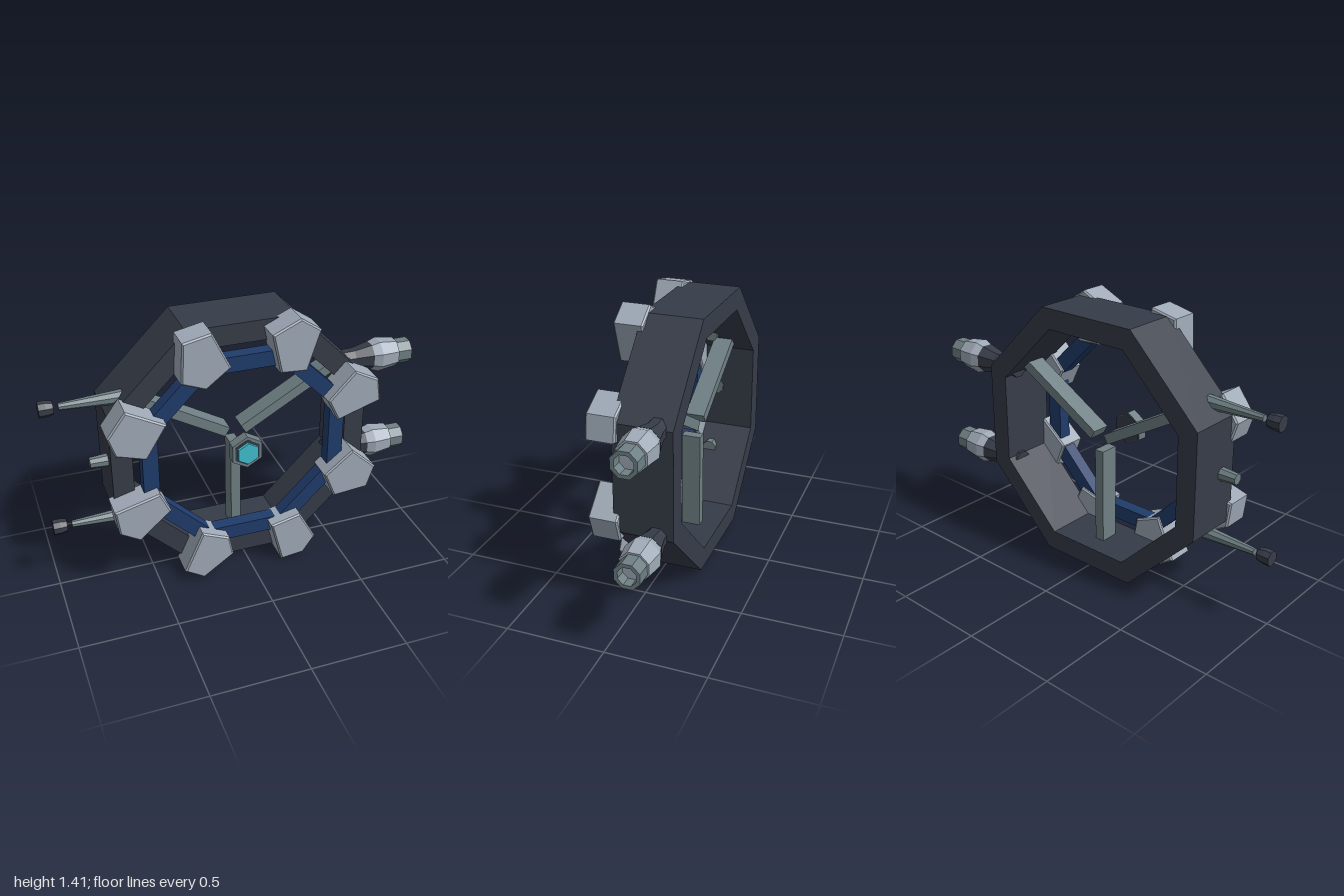
import * as THREE from 'three';

const mat = (name, color) => {
  const m = new THREE.MeshStandardMaterial({ color });
  m.name = name;
  return m;
};

const CX = -0.02, CY = 0.72; // ring centre
const RAD = Math.PI / 180;

export function createModel() {
  const model = new THREE.Group();
  model.name = 'ringStation';

  const hull = mat('dark hull', 0x363c48);
  const pale = mat('pale grey', 0xa0abb8);
  const steel = mat('steel grey', 0x6f8085);
  const blue = mat('navy blue', 0x203c6c);
  const cyan = mat('cyan light', 0x40c0d0);

  const add = (name, geometry, material, x = 0, y = 0, z = 0, parent = model) => {
    const mesh = new THREE.Mesh(geometry, material);
    mesh.name = name;
    mesh.position.set(x, y, z);
    parent.add(mesh);
    return mesh;
  };

  // Faceted normals
  const faceted = (geometry) => {
    const g = geometry.index ? geometry.toNonIndexed() : geometry;
    g.computeVertexNormals();
    return g;
  };

  // Octagon path from its apothem
  const octagon = (path, apothem) => {
    const r = apothem / Math.cos(Math.PI / 8);
    const pts = [];
    for (let i = 0; i < 8; i++) {
      const a = (22.5 + 45 * i) * RAD;
      pts.push(new THREE.Vector2(r * Math.cos(a), r * Math.sin(a)));
    }
    return path.setFromPoints(pts);
  };
  const octRing = (outer, inner, depth) => {
    const shape = octagon(new THREE.Shape(), outer);
    shape.holes.push(octagon(new THREE.Path(), inner));
    return new THREE.ExtrudeGeometry(shape, { depth, bevelEnabled: false });
  };

  // Eight-sided turned part along x, from [x, radius] pairs in rising x
  const turned = (profile) => {
    const pts = profile.map(([x, r]) => new THREE.Vector2(r, x));
    return faceted(new THREE.LatheGeometry(pts, 8, Math.PI / 8)).rotateZ(-Math.PI / 2);
  };

  // Main ring and inner rail
  add('mainRing', octRing(0.675, 0.568, 0.3), hull, CX, CY, -0.21);
  add('innerRail', octRing(0.533, 0.452, 0.07), blue, CX, CY, 0.076);

  // Irregular five-sided blocks on the ring corners: corner angles in degrees
  const blockCorners = [
    [93, 33, -17, -127, -180],
    [147, 82, 30, -66, -122],
    [132, 72, -20, -85, -138],
    [111, 12, -75, -140, -184],
    [160, 50, 0, -97, -145],
    [99, 34, -12, -98, -147],
    [138, 69, -12, -58, -109],
    [87, 8, -44, -126, -189],
  ];
  blockCorners.forEach((angles, i) => {
    const pts = [...angles].reverse().map((d) =>
      new THREE.Vector2(0.147 * Math.cos(d * RAD), 0.147 * Math.sin(d * RAD)));
    const geometry = new THREE.ExtrudeGeometry(new THREE.Shape(pts), {
      depth: 0.134, bevelEnabled: true, bevelThickness: 0.008,
      bevelSize: 0.008, bevelOffset: -0.008, bevelSegments: 1,
    });
    const a = (22.5 + 45 * i) * RAD;
    add('cornerBlock', geometry, pale, CX + 0.607 * Math.cos(a), CY + 0.607 * Math.sin(a), 0.068);
  });

  // Three spokes stopping short of the centre
  for (const deg of [30, 150, 270]) {
    const spoke = add('spoke', new THREE.BoxGeometry(0.55, 0.053, 0.1), steel,
      CX + 0.325 * Math.cos(deg * RAD), CY + 0.325 * Math.sin(deg * RAD), -0.06);
    spoke.rotation.z = deg * RAD;
  }

  // Hexagonal hub lamp
  const hex = (r, depth) => faceted(new THREE.CylinderGeometry(r, r, depth, 6)).rotateX(Math.PI / 2);
  const hub = new THREE.Group();
  hub.name = 'hub';
  hub.position.set(CX, CY, 0);
  model.add(hub);
  add('hubBody', hex(0.09, 0.053), steel, 0, 0, 0.1415, hub);
  add('hubBackPlate', hex(0.085, 0.006), hull, 0, 0, 0.113, hub);
  add('hubFrontPlate', hex(0.074, 0.006), hull, 0, 0, 0.167, hub);
  add('hubLamp', hex(0.06, 0.03), cyan, 0, 0, 0.171, hub);

  for (const side of [1, -1]) {
    // Thruster on the left side
    const thruster = new THREE.Group();
    thruster.name = 'thruster';
    thruster.position.set(0, CY + side * 0.27, -0.125);
    model.add(thruster);
    add('thrusterNeck', turned([[0.53, 0], [0.53, 0.052], [0.68, 0.055], [0.775, 0.078], [0.775, 0]]),
      hull, 0, 0, 0, thruster);
    add('thrusterBody', turned([[0.77, 0], [0.77, 0.075], [0.82, 0.092], [0.92, 0.078], [0.92, 0]]),
      pale, 0, 0, 0, thruster);
    add('thrusterNozzle', turned([[0.915, 0.068], [1, 0.068], [1, 0.048], [0.945, 0.048]]),
      steel, 0, 0, 0, thruster);
    add('nozzleFloor', turned([[0.945, 0.048], [0.946, 0]]), pale, 0, 0, 0, thruster);

    // Antenna on the right side
    const antenna = new THREE.Group();
    antenna.name = 'antenna';
    antenna.position.set(0, CY + side * 0.342, 0);
    model.add(antenna);
    add('antennaMast', turned([[-0.905, 0], [-0.905, 0.018], [-0.6, 0.036], [-0.47, 0.04], [-0.47, 0]]),
      steel, 0, 0, 0, antenna);
    add('antennaTip', turned([[-1, 0], [-1, 0.04], [-0.965, 0.04], [-0.93, 0.033], [-0.93, 0]]),
      hull, 0, 0, 0, antenna);
  }

  // Short stub between the antennas
  add('sideStub', turned([[-0.785, 0], [-0.785, 0.028], [-0.58, 0.043], [-0.58, 0]]), steel, 0, CY, 0);

  return model;
}
